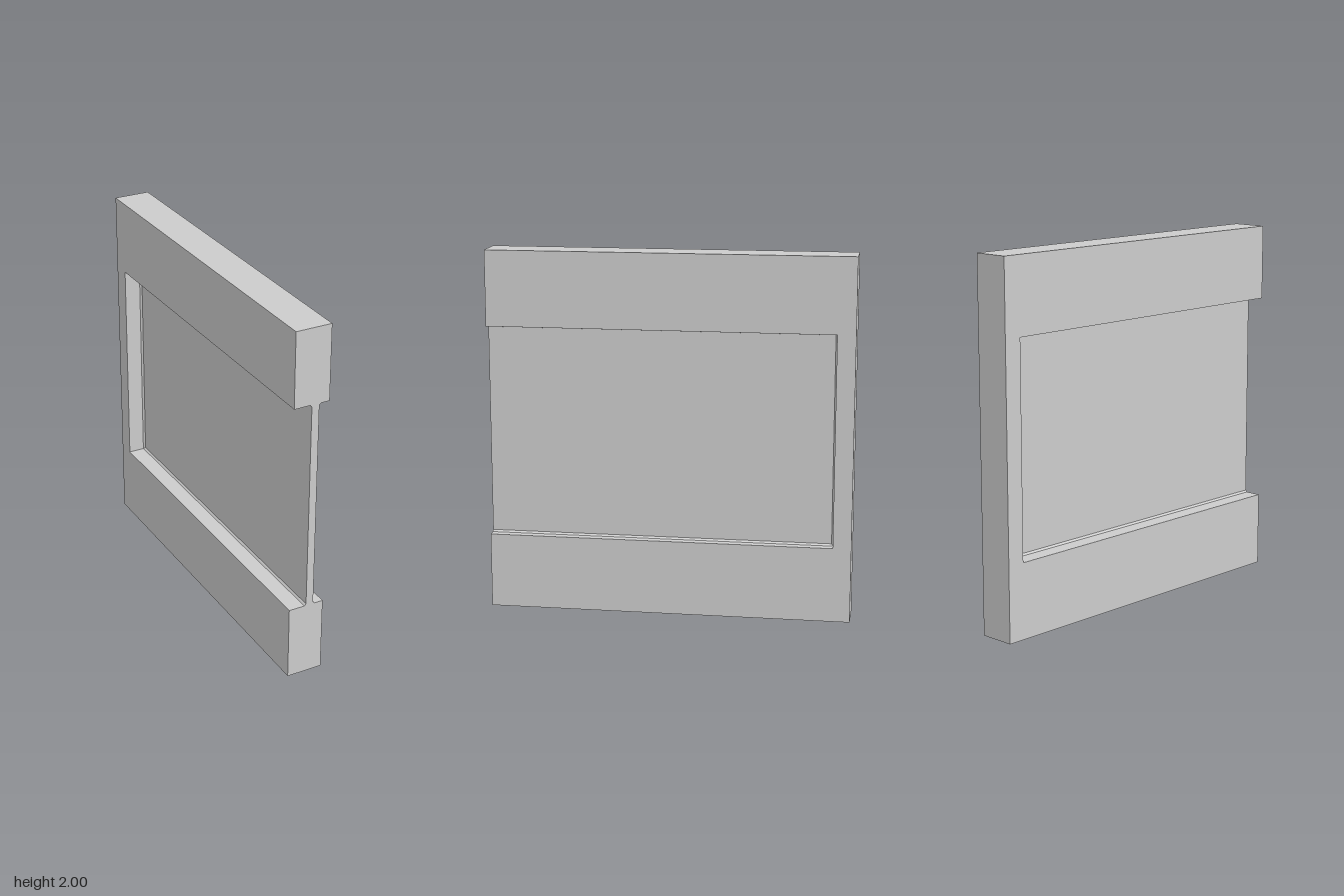
import * as THREE from 'three';

// Opening limits and pane faces
const LOW = 0.415, HIGH = 1.585, BACK = -0.9, FRONT = 1;
const PANE_MIN = 0, PANE_MAX = 0.042, BEAD = 0.01;

const polygon = (points) => new THREE.Shape(points.map(([a, b]) => new THREE.Vector2(a, b)));

const extrude = (points, depth) =>
  new THREE.ExtrudeGeometry(polygon(points), { depth, bevelEnabled: false });

export function createModel() {
  const group = new THREE.Group();
  const material = new THREE.MeshStandardMaterial({ color: 0xcccccc, flatShading: true });

  const add = (name, geometry) => {
    const mesh = new THREE.Mesh(geometry, material);
    mesh.name = name;
    group.add(mesh);
    return mesh;
  };

  // C-shaped frame, open at the front end, drawn in (z, y)
  const frame = extrude([
    [FRONT, 0], [FRONT, LOW], [BACK, LOW], [BACK, HIGH],
    [FRONT, HIGH], [FRONT, 2], [-1, 2], [-1, 0],
  ], 0.2);
  frame.rotateY(-Math.PI / 2);
  add('frame', frame).position.x = 0.1;

  // Thin pane filling the opening
  const pane = new THREE.BoxGeometry(PANE_MAX - PANE_MIN, HIGH - LOW, FRONT - BACK);
  add('pane', pane).position.set(
    (PANE_MIN + PANE_MAX) / 2, (LOW + HIGH) / 2, (FRONT + BACK) / 2);

  // Small sloped beads where the pane meets the frame, on both faces
  for (const [face, out] of [[PANE_MIN, -BEAD], [PANE_MAX, BEAD]]) {
    for (const [name, y, rise] of [['lowerBead', LOW, BEAD], ['upperBead', HIGH, -BEAD]]) {
      const bead = extrude([[face, y], [face + out, y], [face, y + rise]], FRONT - BACK);
      add(name, bead).position.z = BACK;
    }
    const backBead = extrude([[face, BACK], [face + out, BACK], [face, BACK + BEAD]], HIGH - LOW);
    backBead.rotateX(Math.PI / 2);
    add('backBead', backBead).position.y = HIGH;
  }

  return group;
}
